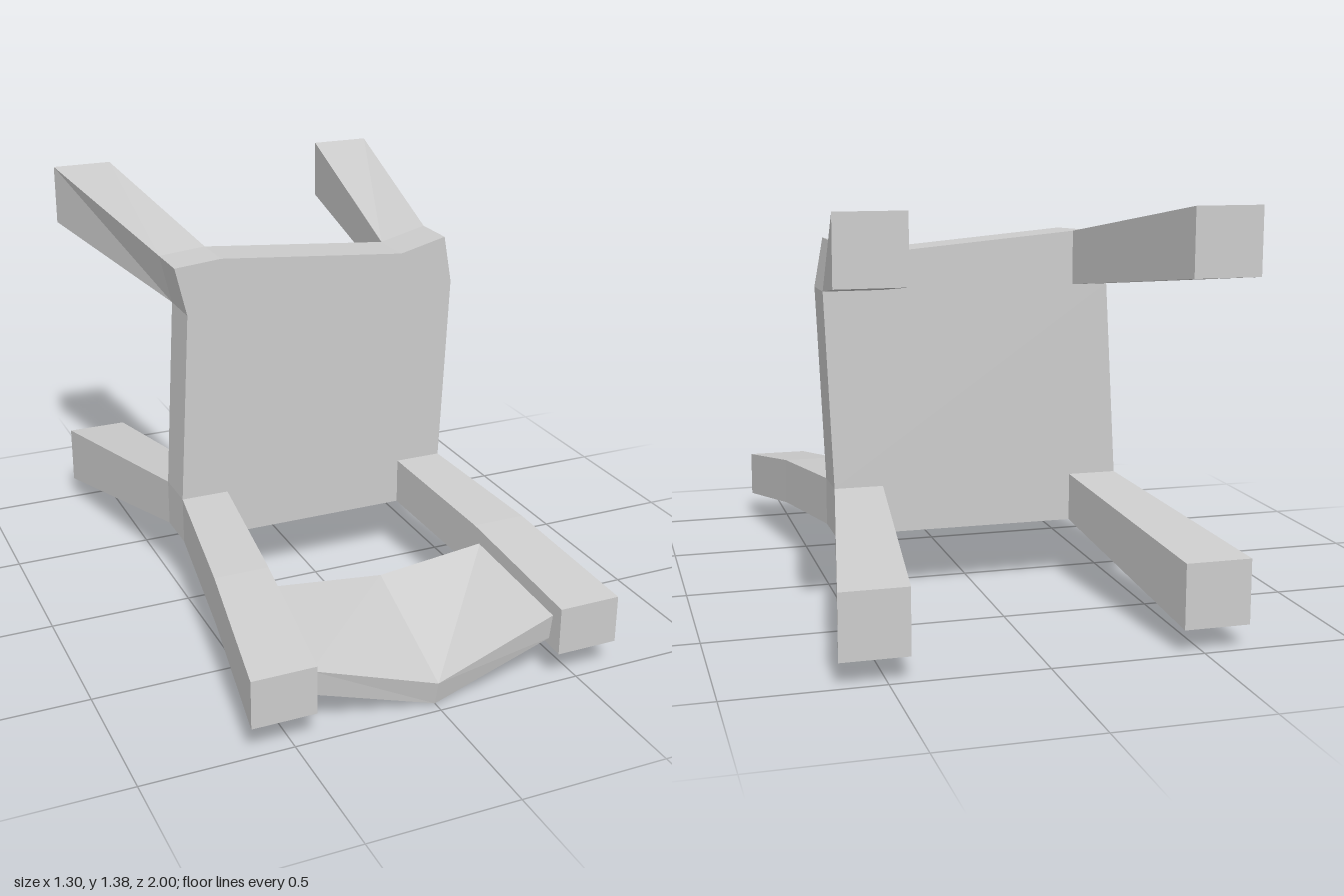
import * as THREE from 'three';

const material = new THREE.MeshStandardMaterial({ color: 0xcccccc, flatShading: true });
const BACK = -0.173, FRONT = -0.01; // z range of the upended seat board

// Joins four-cornered rings; capStart and capEnd close the two ends.
function loft(name, rings, capStart = true, capEnd = true) {
  const pos = [];
  const tri = (...corners) => corners.forEach((p) => pos.push(...p));
  for (let s = 0; s + 1 < rings.length; s++) {
    for (let i = 0; i < 4; i++) {
      const j = (i + 1) % 4;
      const a = rings[s][i], b = rings[s][j], c = rings[s + 1][j], d = rings[s + 1][i];
      if (i === 1) { tri(a, b, d); tri(b, c, d); }
      else { tri(a, b, c); tri(a, c, d); }
    }
  }
  const cap = ([a, b, c, d]) => { tri(a, b, c); tri(a, c, d); };
  if (capStart) cap([...rings[0]].reverse());
  if (capEnd) cap(rings[rings.length - 1]);
  const geometry = new THREE.BufferGeometry();
  geometry.setAttribute('position', new THREE.Float32BufferAttribute(pos, 3));
  geometry.computeVertexNormals();
  const mesh = new THREE.Mesh(geometry, material);
  mesh.name = name;
  return mesh;
}

// Rectangular ring at depth z, on side s (+1 left, -1 right).
function rect(s, inner, outer, y0, y1, z) {
  const [x0, x1] = s > 0 ? [inner, outer] : [-outer, -inner];
  return [[x0, y0, z], [x1, y0, z], [x1, y1, z], [x0, y1, z]];
}

export function createModel() {
  const chair = new THREE.Group();
  chair.name = 'chair';

  // Seat board, slightly skewed at its front edge
  const outline = [
    [-0.505, 0.225], [0.505, 0.225], [0.505, 0.39], [0.535, 1.065], [0.505, 1.232],
    [0.335, 1.19], [-0.34, 1.25], [-0.505, 1.235], [-0.465, 1.065], [-0.505, 0.39],
  ].map(([x, y]) => new THREE.Vector2(x, y));
  const board = new THREE.ExtrudeGeometry(new THREE.Shape(outline), { depth: FRONT - BACK, bevelEnabled: false });
  board.translate(0, 0, BACK);
  const seat = new THREE.Mesh(board, material);
  seat.name = 'seat';
  chair.add(seat);

  // Corners where the two front legs meet the skewed edge of the seat
  const frontRoots = {
    1: [[0.335, 1.065, BACK], [0.535, 1.065, BACK], [0.505, 1.232, BACK], [0.335, 1.19, BACK]],
    '-1': [[-0.465, 1.065, BACK], [-0.34, 1.065, BACK], [-0.34, 1.25, BACK], [-0.505, 1.235, BACK]],
  };

  for (const s of [1, -1]) {
    const side = s > 0 ? 'left' : 'right';
    // Legs flare outwards and thicken towards their feet
    chair.add(loft(side + 'FrontLeg', [rect(s, 0.432, 0.65, 1.165, 1.38, -1), frontRoots[s]], true, false));
    chair.add(loft(side + 'RearLeg', [
      rect(s, 0.432, 0.65, 0.08, 0.293, -1),
      rect(s, 0.337, 0.505, 0.225, 0.39, BACK),
    ], true, false));
    // Backrest posts, bent halfway
    chair.add(loft(side + 'BackPost', [
      rect(s, 0.337, 0.505, 0.225, 0.39, FRONT),
      rect(s, 0.384, 0.572, 0.18, 0.346, 0.5),
      rect(s, 0.427, 0.642, 0.1, 0.265, 1),
    ], false, true));
  }

  // Backrest panel, folded along the middle
  const panelEnd = (s) => [
    [s * 0.39, 0.205, 0.535], [s * 0.39, 0.29, 0.53], [s * 0.428, 0.225, 0.958], [s * 0.428, 0.135, 0.945],
  ];
  const panelMiddle = [[0, 0.172, 0.572], [0, 0.26, 0.55], [0, 0.085, 0.978], [0, 0, 0.958]];
  chair.add(loft('backrestPanel', [panelEnd(-1), panelMiddle, panelEnd(1)]));

  return chair;
}
